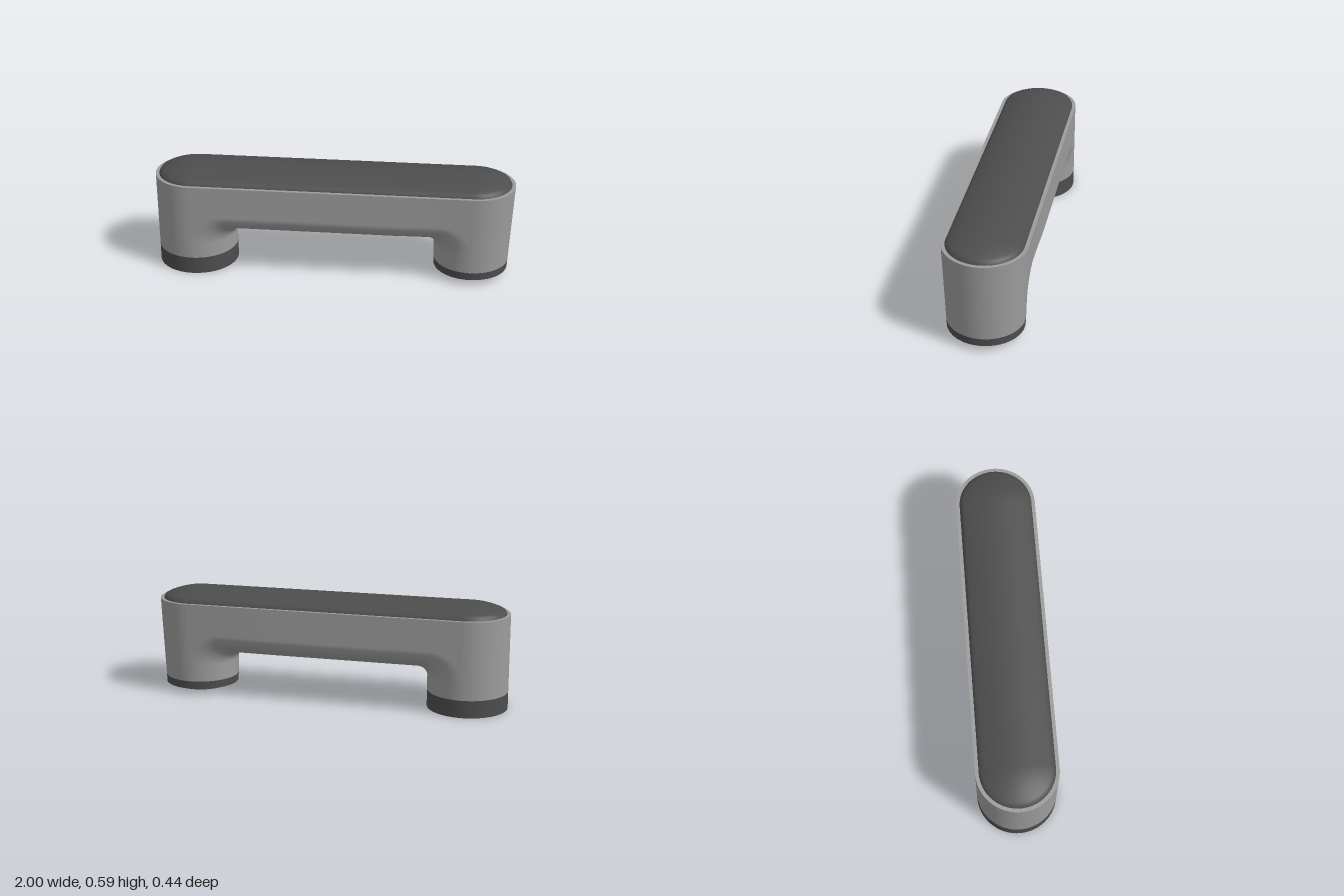
import * as THREE from 'three';
import { mergeGeometries, mergeVertices } from 'three/addons/utils/BufferGeometryUtils.js';

const C = 0.7775, R = 0.2225, TOP = 0.53; // leg centre, leg radius, body top
const LEFT_FOOT = 0.08, RIGHT_FOOT = 0.097; // foot heights at +x and -x
const N = 32;

const grey = new THREE.MeshStandardMaterial({ color: 0x9c9c9c, side: THREE.DoubleSide });
const dark = new THREE.MeshStandardMaterial({ color: 0x4d4d4d, side: THREE.DoubleSide });

// Surface patch from fn(i, j) -> [x, y, z]
function grid(nu, nv, fn) {
  const pos = [], idx = [];
  for (let i = 0; i <= nu; i++) for (let j = 0; j <= nv; j++) pos.push(...fn(i, j));
  for (let i = 0; i < nu; i++) for (let j = 0; j < nv; j++) {
    const a = i * (nv + 1) + j, b = a + nv + 1;
    idx.push(a, b, a + 1, b, b + 1, a + 1);
  }
  const g = new THREE.BufferGeometry();
  g.setAttribute('position', new THREE.Float32BufferAttribute(pos, 3));
  g.setIndex(idx);
  return g;
}

// Weld shared points and shade smoothly
function smooth(geo) {
  const g = mergeVertices(geo);
  g.computeVertexNormals();
  return g;
}

// Paired guide curves for one half: inner arch line and the line where the side turns under
function halfPath(base) {
  const pts = [{ a: [C - R, base], b: [C, base] }];
  for (let i = 0; i <= 14; i++) {
    const t = (i / 14) * Math.PI / 2, co = Math.cos(t), si = Math.sin(t);
    pts.push({
      a: [0.505 + 0.05 * co, 0.175 + 0.05 * si],
      b: [C - 0.175 + 0.175 * co, 0.18 + 0.175 * si],
    });
  }
  for (const x of [0.45, 0.4, 0.35, 0.3]) pts.push({ a: [x, 0.225], b: [x, 0.355] });
  return pts;
}

// The leg at +x narrows slightly toward its foot
function taper(geo) {
  const p = geo.attributes.position;
  for (let i = 0; i < p.count; i++) {
    const x = p.getX(i), w = THREE.MathUtils.smoothstep(x, 0.3, 0.55);
    const t = w * (TOP - p.getY(i)) / 0.45, k = 1 - 0.065 * t;
    p.setX(i, x + w * (C - 0.0055 * t + (x - C) * k - x));
    p.setZ(i, p.getZ(i) * k);
  }
  return geo;
}

function bodyGeometry() {
  const mirror = ([x, y]) => [-x, y];
  const path = [
    ...halfPath(RIGHT_FOOT).map(({ a, b }) => ({ a: mirror(a), b: mirror(b) })),
    ...halfPath(LEFT_FOOT).reverse(),
  ];
  const n = path.length - 1;

  // Inner leg faces and the rounded underside in one sweep
  const under = grid(n, 2 * N, (i, j) => {
    const { a, b } = path[i], t = (j / (2 * N)) * Math.PI, s = Math.sin(t);
    return [b[0] + (a[0] - b[0]) * s, b[1] + (a[1] - b[1]) * s, -R * Math.cos(t)];
  });

  // Flat long sides
  const sides = [1, -1].map(s => grid(n, 1, (i, j) => {
    const { b } = path[s > 0 ? i : n - i];
    return [b[0], j ? TOP : b[1], s * R];
  }));

  // Rounded outer ends
  const ends = [1, -1].map(s => grid(N, 4, (i, j) => {
    const t = (i / N) * Math.PI, base = s > 0 ? LEFT_FOOT : RIGHT_FOOT;
    return [s * (C + R * Math.sin(t)), base + (TOP - base) * j / 4, s * R * Math.cos(t)];
  }));

  return smooth(taper(mergeGeometries([under, ...sides, ...ends])));
}

// Flat top of the body, seen as a thin rim around the pad
function rimGeometry() {
  const s = new THREE.Shape();
  s.absarc(C, 0, R, -Math.PI / 2, Math.PI / 2, false);
  s.absarc(-C, 0, R, Math.PI / 2, Math.PI * 1.5, false);
  return new THREE.ShapeGeometry(s, N).rotateX(-Math.PI / 2).translate(0, TOP, 0);
}

// Domed pad: stadium rings shrinking toward a straight ridge
function padGeometry() {
  const profile = [[0.203, TOP], [0.195, 0.546]];
  for (let i = 1; i <= 12; i++) {
    const r = 0.195 * (1 - i / 12);
    profile.push([r, 0.592 - 1.18 * r * r]);
  }
  const count = 2 * N + 2;
  return smooth(grid(count, profile.length - 1, (i, j) => {
    const k = i % count, s = k <= N ? 1 : -1;
    const t = ((k <= N ? k : k - N - 1) / N) * Math.PI, [r, y] = profile[j];
    return [s * (C + r * Math.sin(t)), y, s * r * Math.cos(t)];
  }));
}

export function createModel() {
  const model = new THREE.Group();
  const add = (name, geo, mat) => {
    const m = new THREE.Mesh(geo, mat);
    m.name = name;
    model.add(m);
  };
  const disc = (x, r1, r0, y0, y1) =>
    new THREE.CylinderGeometry(r1, r0, y1 - y0, 2 * N).translate(x, (y0 + y1) / 2, 0);

  add('body', bodyGeometry(), grey);
  add('topRim', rimGeometry(), grey);
  add('topPad', padGeometry(), dark);
  add('rightFoot', disc(-C, R, R, 0, RIGHT_FOOT), dark);
  add('leftFoot', disc(0.772, 0.208, 0.206, 0.036, LEFT_FOOT), dark);
  add('leftFootDisc', disc(0.772, 0.163, 0.163, 0.02, 0.036), dark);
  return model;
}
